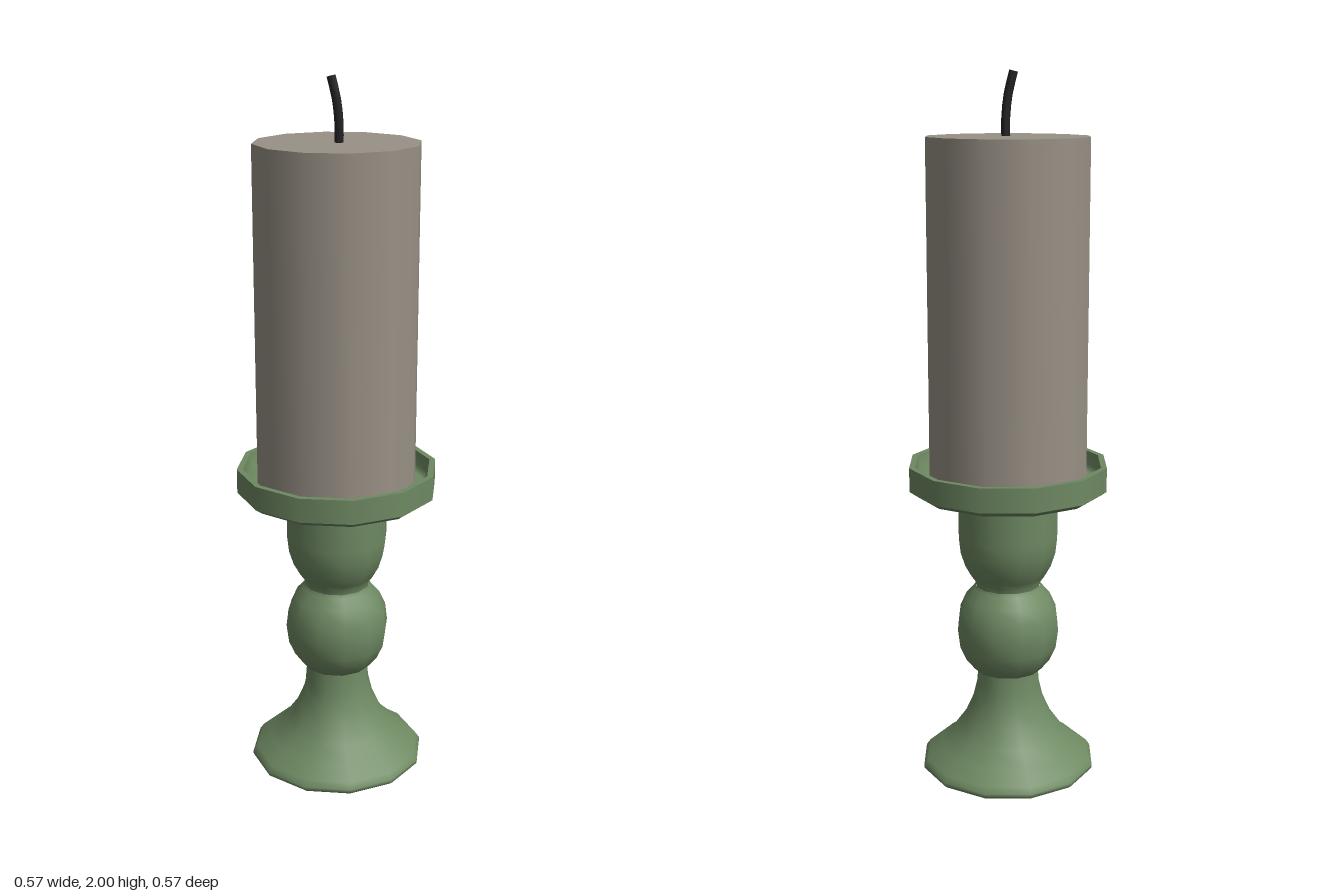
import * as THREE from 'three';

const SIDES = 12;
const green = new THREE.MeshStandardMaterial({ color: 0x6f8a63 });
const wax = new THREE.MeshStandardMaterial({ color: 0x999186 });
const charred = new THREE.MeshStandardMaterial({ color: 0x232326 });

// Turned part from [radius, height] pairs, listed from the bottom up the outside
function turned(name, profile) {
  const points = profile.map(([r, y]) => new THREE.Vector2(r, y));
  const mesh = new THREE.Mesh(new THREE.LatheGeometry(points, SIDES), green);
  mesh.name = name;
  return mesh;
}

export function createModel() {
  const group = new THREE.Group();
  group.name = 'candlestick';

  // Flared foot with a flat underside
  group.add(turned('footUnderside', [[0, 0], [0.245, 0]]));
  group.add(turned('foot', [
    [0.245, 0], [0.255, 0.008], [0.255, 0.018], [0.243, 0.035], [0.2, 0.066],
    [0.16, 0.105], [0.128, 0.15], [0.106, 0.2], [0.094, 0.25], [0.09, 0.305],
  ]));

  // Round knob in the middle of the stem
  group.add(turned('knob', [
    [0.085, 0.3], [0.1, 0.304], [0.125, 0.335], [0.143, 0.375], [0.15, 0.43],
    [0.144, 0.48], [0.125, 0.522], [0.1, 0.55], [0.095, 0.56],
  ]));

  // Cup-shaped upper stem
  group.add(turned('upperStem', [
    [0.093, 0.55], [0.095, 0.572], [0.108, 0.59], [0.127, 0.624],
    [0.14, 0.665], [0.145, 0.71], [0.145, 0.84],
  ]));

  // Shallow dish with a raised rim
  group.add(turned('dishUnderside', [[0, 0.832], [0.215, 0.832], [0.265, 0.842], [0.285, 0.856]]));
  group.add(turned('dishWall', [[0.285, 0.856], [0.285, 0.925]]));
  group.add(turned('dishRim', [[0.285, 0.925], [0.268, 0.925]]));
  group.add(turned('dishInside', [[0.268, 0.925], [0.263, 0.885], [0.248, 0.87], [0, 0.87]]));

  // Pillar candle
  const candle = new THREE.Mesh(new THREE.CylinderGeometry(0.227, 0.227, 0.96, SIDES), wax);
  candle.name = 'candle';
  candle.position.y = 1.347;
  group.add(candle);

  // Bent wick with a closed tip
  const path = new THREE.CatmullRomCurve3([
    new THREE.Vector3(0.008, 1.815, 0),
    new THREE.Vector3(0.01, 1.87, 0.001),
    new THREE.Vector3(0.006, 1.935, 0.006),
    new THREE.Vector3(-0.005, 1.997, 0.016),
  ]);
  const wick = new THREE.Mesh(new THREE.TubeGeometry(path, 6, 0.012, 8), charred);
  wick.name = 'wick';
  const tip = new THREE.Mesh(new THREE.CircleGeometry(0.012, 8), charred);
  tip.name = 'wickTip';
  tip.position.copy(path.getPoint(1));
  tip.quaternion.setFromUnitVectors(new THREE.Vector3(0, 0, 1), path.getTangent(1));
  group.add(wick, tip);

  return group;
}
